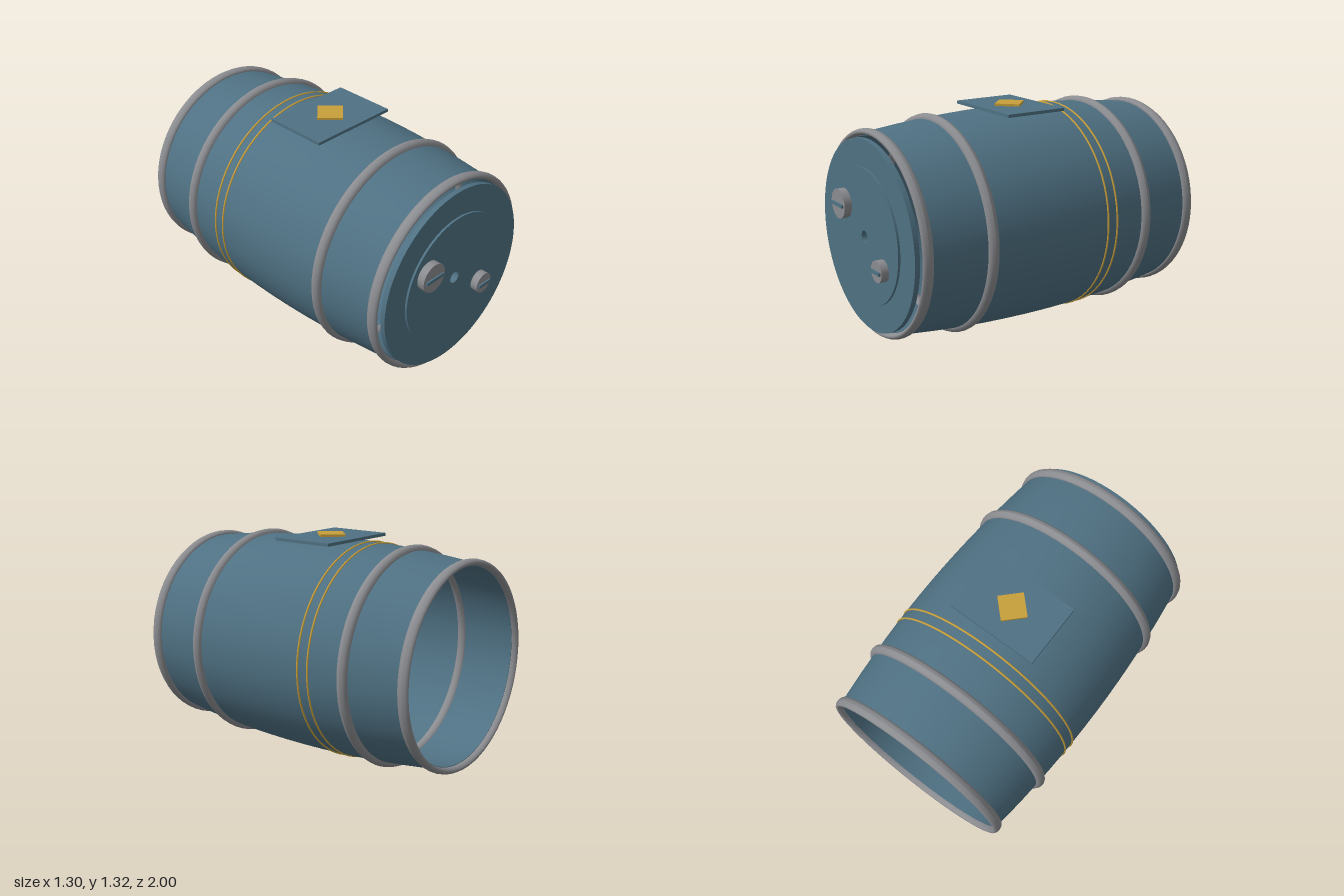
import * as THREE from 'three';

const CY = 0.648; // height of the barrel axis
const SEG = 64;
const mat = (name, color) => new THREE.MeshStandardMaterial({ name, color });

export function createModel() {
  const blue = mat('steelBlue', 0x4f7183);
  const grey = mat('hoopGrey', 0x8b8c90);
  const gold = mat('gold', 0xc8a03c);

  const model = new THREE.Group();
  model.name = 'barrel';
  const add = (name, geometry, material, x = 0, y = 0, z = 0) => {
    const mesh = new THREE.Mesh(geometry, material);
    mesh.name = name;
    mesh.position.set(x, y, z);
    model.add(mesh);
    return mesh;
  };

  // Bulging wall, lying along z
  const back = -0.96, front = 0.87, mid = (back + front) / 2, half = (front - back) / 2;
  const radiusAt = (z) => 0.641 - 0.061 * ((z - mid) / half) ** 2;
  const wall = 0.016;
  const lathe = (points) => new THREE.LatheGeometry(points, SEG).rotateX(Math.PI / 2);
  const outer = [], inner = [];
  for (let i = 0; i <= 16; i++) {
    const z = back + (front - back) * i / 16;
    // the lathe axis y turns into z
    outer.push(new THREE.Vector2(radiusAt(z), z));
    inner.unshift(new THREE.Vector2(radiusAt(z) - wall, z));
  }
  add('outerWall', lathe(outer), blue, 0, CY);
  add('innerWall', lathe(inner), blue, 0, CY);
  add('frontLip', lathe([outer[16], inner[0]]), blue, 0, CY);
  add('backLip', lathe([inner[16], outer[0]]), blue, 0, CY);

  // Hoops: elliptical rings at the ends, round ones on the body
  const hoop = (name, z, radius, radial) => {
    const points = [];
    for (let i = 0; i <= 12; i++) {
      const a = i / 12 * Math.PI * 2;
      points.push(new THREE.Vector2(radius + radial * Math.cos(a), z + 0.033 * Math.sin(a)));
    }
    add(name, lathe(points), grey, 0, CY);
  };
  hoop('frontRimHoop', 0.868, 0.586, 0.019);
  hoop('frontHoop', 0.482, 0.618, 0.03);
  hoop('backHoop', -0.597, 0.618, 0.03);
  hoop('backRimHoop', -0.962, 0.586, 0.019);

  // Thin gold bands
  for (const z of [-0.3, -0.368]) {
    add('goldBand', new THREE.TorusGeometry(radiusAt(z) + 0.001, 0.006, 8, SEG), gold, 0, CY, z);
  }

  // Lid with a raised panel, both pierced in the middle
  const disc = (radius, depth) => {
    const shape = new THREE.Shape().absarc(0, 0, radius, 0, Math.PI * 2);
    shape.holes.push(new THREE.Path().absarc(0, 0, 0.036, 0, Math.PI * 2, true));
    return new THREE.ExtrudeGeometry(shape, { depth, bevelEnabled: false, curveSegments: SEG });
  };
  add('lid', disc(0.558, 0.03), blue, 0, CY, 0.902);
  add('lidPanel', disc(0.398, 0.013), blue, 0, CY, 0.932);

  // Screw bungs with a raised slot bar
  const bung = (x, y, r, barWidth) => {
    add('bung', new THREE.CylinderGeometry(r, r, 0.05, 40).rotateX(Math.PI / 2), grey, x, y, 0.965);
    add('bungBar', new THREE.BoxGeometry(barWidth, 0.02, 0.02), blue, x, y - 0.003, 0.99);
  };
  bung(-0.235, 0.793, 0.087, 0.135);
  bung(0.222, 0.512, 0.063, 0.096);

  // Plate on top with a gold diamond
  add('plate', new THREE.BoxGeometry(0.56, 0.018, 0.39), blue, 0, 1.294, -0.038);
  const side = 0.105 * Math.SQRT2;
  add('diamond', new THREE.BoxGeometry(side, 0.014, side).rotateY(Math.PI / 4), gold, 0, 1.31, -0.038);

  return model;
}
